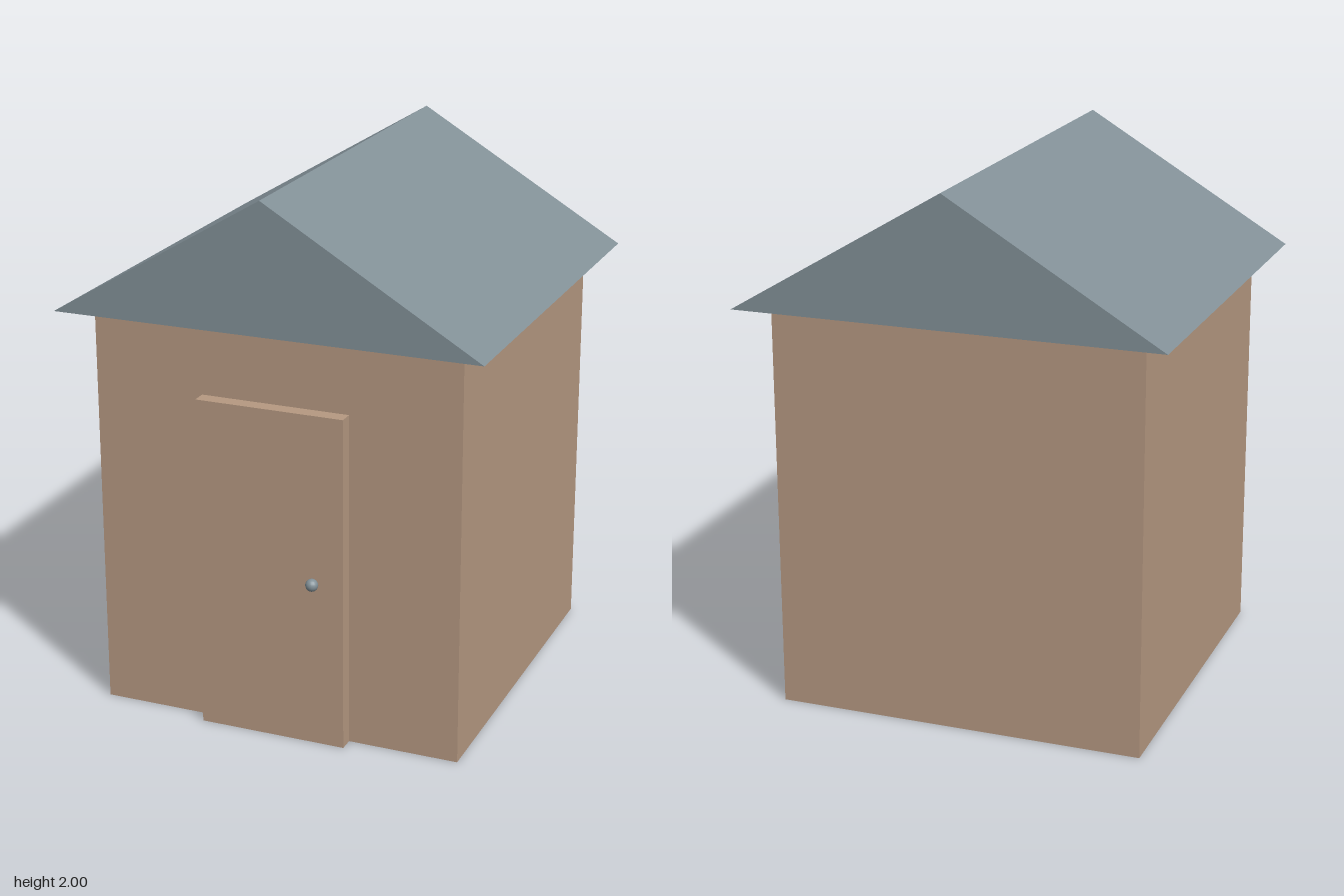
import * as THREE from 'three';

export function createModel() {
  const group = new THREE.Group();
  const wood = new THREE.MeshStandardMaterial({ color: 0xb59881 });
  wood.name = 'tan wood';
  const slate = new THREE.MeshStandardMaterial({ color: 0x829097 });
  slate.name = 'slate grey';

  const add = (name, geometry, material, x, y, z) => {
    const mesh = new THREE.Mesh(geometry, material);
    mesh.name = name;
    mesh.position.set(x, y, z);
    group.add(mesh);
  };

  const wall = 0.69, eave = 0.795, wallHeight = 1.525, doorHeight = 1.25;

  // Square hut body
  add('walls', new THREE.BoxGeometry(2 * wall, wallHeight, 2 * wall), wood, 0, wallHeight / 2, 0);

  // Solid gable roof with overhanging eaves, ridge running front to back
  const gable = new THREE.Shape([
    new THREE.Vector2(-eave, wallHeight),
    new THREE.Vector2(eave, wallHeight),
    new THREE.Vector2(0, 2),
  ]);
  add('roof', new THREE.ExtrudeGeometry(gable, { depth: 2 * eave, bevelEnabled: false }), slate, 0, 0, -eave);

  // Door slab standing proud of the front wall, and its round knob
  add('door', new THREE.BoxGeometry(0.555, doorHeight, 0.11), wood, 0, doorHeight / 2, wall);
  add('doorKnob', new THREE.SphereGeometry(0.023, 16, 12), slate, 0.165, 0.625, 0.76);

  return group;
}
